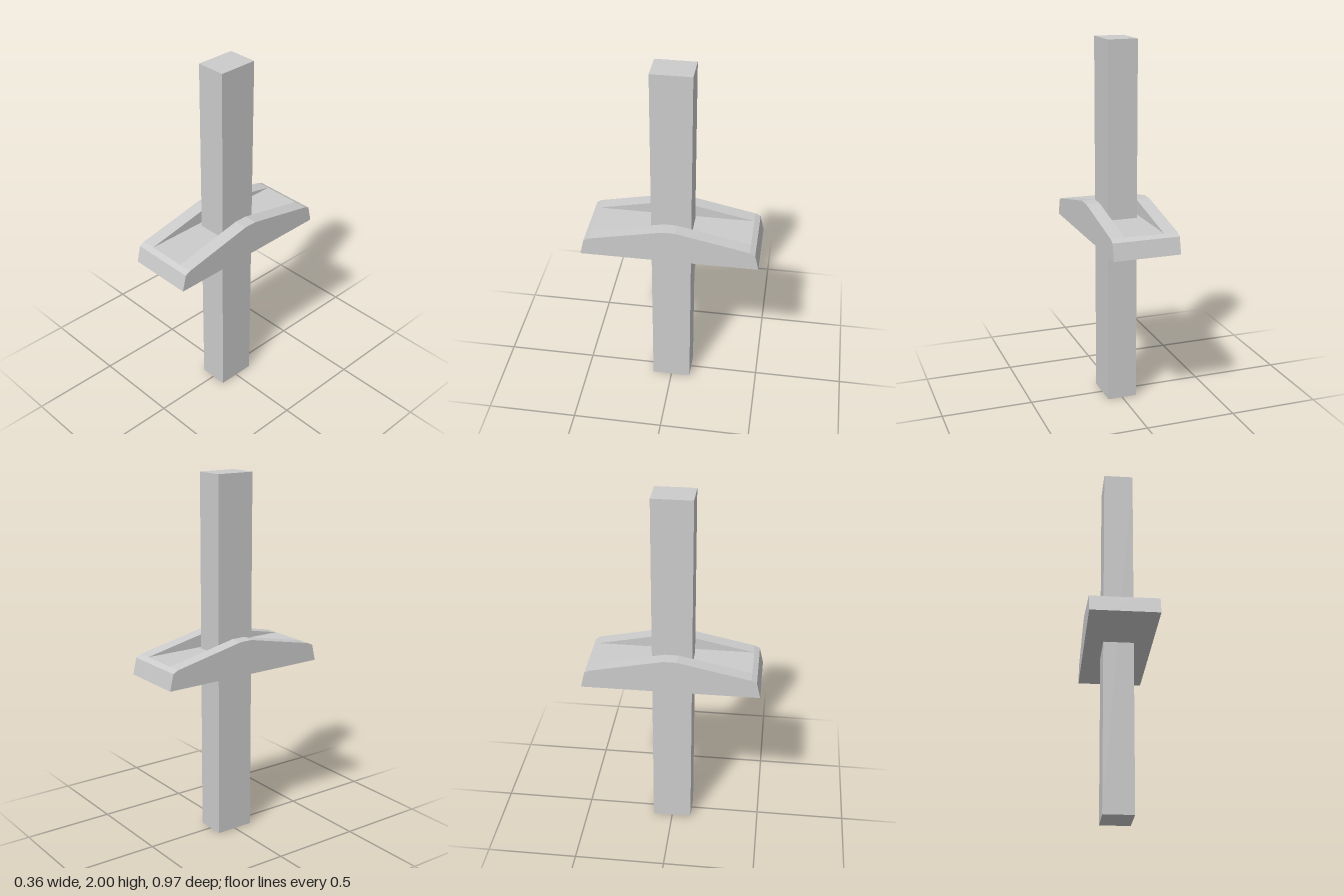
import * as THREE from 'three';

const HALF_WIDTH = 0.182;   // guard half width
const CHANNEL = 0.107;      // half width of the recessed channel

const material = new THREE.MeshStandardMaterial({ color: 0xcccccc, flatShading: true });

function addMesh(group, name, geometry) {
  const mesh = new THREE.Mesh(geometry, material);
  mesh.name = name;
  group.add(mesh);
  return mesh;
}

// Extrudes a side profile, mirrored front to back, between two x positions.
function crossSlab(halfProfile, x0, x1) {
  const mirrored = halfProfile.map(([z, y]) => [-z, y]).reverse();
  const points = [...halfProfile, ...mirrored].map(([z, y]) => new THREE.Vector2(z, y));
  const geometry = new THREE.ExtrudeGeometry(new THREE.Shape(points), {
    depth: x1 - x0, bevelEnabled: false,
  });
  return geometry.rotateY(Math.PI / 2).translate(x0, 0, 0);
}

export function createModel() {
  const model = new THREE.Group();
  model.name = 'postWithCrossGuard';

  // Square-cut post running the full height
  addMesh(model, 'post', new THREE.BoxGeometry(0.164, 2, 0.218).translate(0, 1, 0));

  // Cross guard: a flat channel floor between two raised, sloping cheeks
  const guard = new THREE.Group();
  guard.name = 'crossGuard';
  model.add(guard);

  const base = [[0.483, 0.94], [0.462, 1.03], [0.433, 1.045]];
  const cheek = [...base, [0.036, 1.128]];
  addMesh(guard, 'channelFloor', crossSlab(base, -CHANNEL, CHANNEL));
  addMesh(guard, 'leftCheek', crossSlab(cheek, CHANNEL, HALF_WIDTH));
  addMesh(guard, 'rightCheek', crossSlab(cheek, -HALF_WIDTH, -CHANNEL));

  return model;
}
